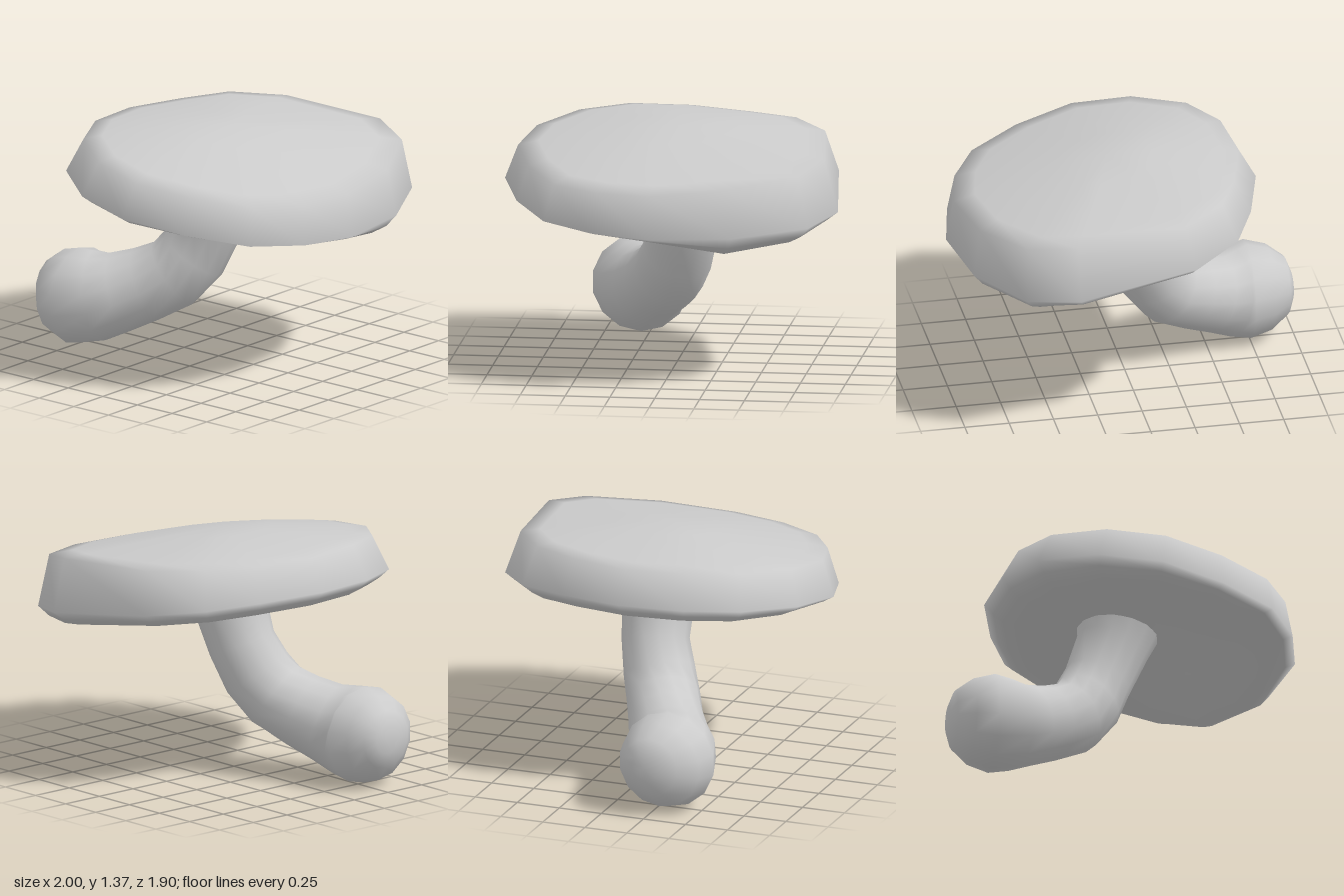
import * as THREE from 'three';
import { mergeVertices } from 'three/addons/utils/BufferGeometryUtils.js';

const material = new THREE.MeshStandardMaterial({ color: 0xcccccc });

// Skins a series of equal closed rings of points; smooth normals
function loft(name, rings) {
  const n = rings[0].length, index = [];
  for (let i = 0; i < rings.length - 1; i++) {
    for (let j = 0; j < n; j++) {
      const a = i * n + j, b = i * n + (j + 1) % n;
      index.push(a, b, a + n, b, b + n, a + n);
    }
  }
  let geometry = new THREE.BufferGeometry().setFromPoints(rings.flat());
  geometry.setIndex(index);
  geometry = mergeVertices(geometry, 1e-4);
  geometry.computeVertexNormals();
  const mesh = new THREE.Mesh(geometry, material);
  mesh.name = name;
  return mesh;
}

// Tilted cap: an uneven outline, with its own shoulder height and underside depth at each corner
function createCap() {
  const outline = [ // x, z, rise, drop
    [0.43, -0.95, 0.295, 0.09], [0.71, -0.82, 0.285, 0.115], [0.93, -0.42, 0.26, 0.13],
    [1.0, 0.04, 0.23, 0.055], [0.93, 0.37, 0.215, 0.04], [0.77, 0.65, 0.2, 0.035],
    [0.46, 0.84, 0.2, 0.04], [0.1, 0.95, 0.2, 0.06], [-0.25, 0.88, 0.2, 0.07],
    [-0.55, 0.66, 0.2, 0.08], [-0.70, 0.37, 0.2, 0.08], [-0.74, 0, 0.19, 0.08],
    [-0.64, -0.37, 0.2, 0.08], [-0.51, -0.66, 0.22, 0.08], [-0.24, -0.87, 0.24, 0.08],
  ];
  const apex = 0.335;
  const dome = w => rise => apex + (rise - apex) * w;
  const under = (w, lift = 0) => (rise, drop) => lift - drop * w;
  const profile = [ // scale, centre x, height above the rim plane
    [0, 0.1, dome(0)], [0.3, 0.1, dome(0.16)], [0.6, 0.11, dome(0.52)],
    [0.8, 0.12, dome(0.8)], [0.92, 0.13, dome(1)], [1, 0.1, under(0)],
    [0.94, 0.1, under(0.55)], [0.86, 0.09, under(1)], [0.7, 0.08, under(0.9)],
    [0.48, 0.05, under(0.5)], [0.28, 0.02, under(0)], [0, 0, under(0, 0.04)],
  ];
  return loft('cap', profile.map(([s, cx, height]) => outline.map(([px, pz, rise, drop]) => {
    const x = cx + (px - 0.1) * s, z = pz * s;
    return new THREE.Vector3(x, 1.035 - 0.139 * x + 0.015 * z + height(rise, drop), z);
  })));
}

// Bent stem: round sections following a curved path to a bulbous foot
function createStem() {
  const sections = [ // x, y, z, radius
    [0.02, 1.1, -0.05, 0.25], [-0.01, 0.96, -0.045, 0.205], [-0.1, 0.73, -0.03, 0.19],
    [-0.17, 0.57, 0.02, 0.2], [-0.26, 0.45, 0.08, 0.205], [-0.4, 0.375, 0.15, 0.21],
    [-0.53, 0.32, 0.22, 0.225], [-0.64, 0.29, 0.27, 0.255], [-0.75, 0.277, 0.3, 0.275],
    [-0.87, 0.28, 0.295, 0.24], [-0.96, 0.295, 0.27, 0.165], [-0.99, 0.3, 0.255, 0.08],
    [-0.995, 0.3, 0.25, 0],
  ];
  const centres = sections.map(([x, y, z]) => new THREE.Vector3(x, y, z));
  const sides = 14, side = new THREE.Vector3(0, 0, 1);
  return loft('stem', centres.map((c, i) => {
    const t = centres[Math.min(i + 1, centres.length - 1)].clone()
      .sub(centres[Math.max(i - 1, 0)]);
    // the foot ends square to the side
    if (c.x < -0.7) t.set(-1, 0, 0);
    t.normalize();
    const u = t.clone().cross(side).normalize(), v = t.clone().cross(u);
    return Array.from({ length: sides }, (_, j) => {
      const a = j / sides * Math.PI * 2, r = sections[i][3];
      return c.clone().addScaledVector(u, r * Math.cos(a)).addScaledVector(v, r * Math.sin(a));
    });
  }));
}

export function createModel() {
  const model = new THREE.Group();
  model.name = 'mushroom';
  model.add(createCap(), createStem());
  return model;
}
